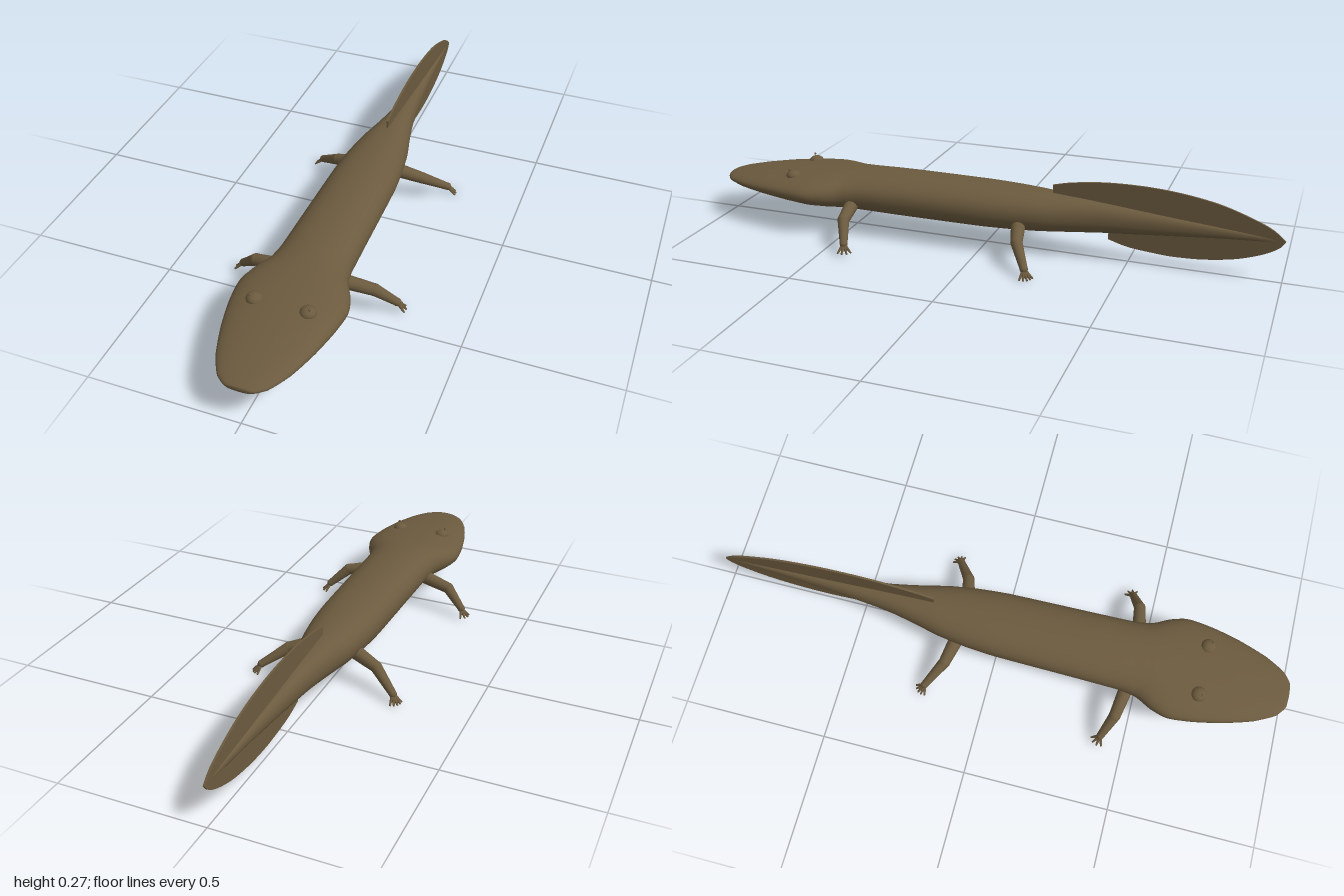
import * as THREE from 'three';

const skin = new THREE.MeshStandardMaterial({ color: 0x6b5a3e });
skin.name = 'brown skin';

const V = (x, y, z) => new THREE.Vector3(x, y, z);

function add(parent, name, geometry, position) {
  const mesh = new THREE.Mesh(geometry, skin);
  mesh.name = name;
  if (position) mesh.position.copy(position);
  parent.add(mesh);
  return mesh;
}

// Tapered round segment between two points
function segment(parent, name, a, b, ra, rb, sides = 16) {
  const dir = b.clone().sub(a);
  const mesh = add(parent, name, new THREE.CylinderGeometry(rb, ra, dir.length(), sides), a.clone().lerp(b, 0.5));
  mesh.quaternion.setFromUnitVectors(V(0, 1, 0), dir.normalize());
  return mesh;
}

// Smooth body lofted from rows of z, half width, top and bottom
function bodyGeometry() {
  const rows = [
    [1.0, 0.0, 0.141, 0.141], [0.997, 0.04, 0.15, 0.131], [0.97, 0.078, 0.157, 0.124],
    [0.9, 0.117, 0.17, 0.114], [0.8, 0.15, 0.186, 0.104], [0.7, 0.172, 0.198, 0.096],
    [0.62, 0.18, 0.205, 0.089], [0.56, 0.164, 0.21, 0.084], [0.5, 0.133, 0.214, 0.079],
    [0.44, 0.123, 0.217, 0.076], [0.3, 0.119, 0.221, 0.073], [0.0, 0.113, 0.221, 0.072],
    [-0.1, 0.105, 0.219, 0.074], [-0.2, 0.09, 0.215, 0.078], [-0.3, 0.066, 0.208, 0.085],
    [-0.4, 0.046, 0.2, 0.094], [-0.6, 0.025, 0.181, 0.11], [-0.8, 0.012, 0.164, 0.127],
    [-0.99, 0.002, 0.147, 0.139], [-1.0, 0.0, 0.143, 0.143],
  ];
  const size = new THREE.CatmullRomCurve3(rows.map(r => V(r[1], r[2], r[3])));
  const along = new THREE.CatmullRomCurve3(rows.map(r => V(0, 0, r[0])));
  const n = (rows.length - 1) * 4, m = 48;
  const positions = [], index = [];
  const round = v => Math.sign(v) * Math.abs(v) ** 0.92;
  for (let i = 0; i <= n; i++) {
    const s = size.getPoint(i / n);
    const z = THREE.MathUtils.clamp(along.getPoint(i / n).z, -1, 1);
    for (let j = 0; j < m; j++) {
      const a = (j / m) * Math.PI * 2;
      positions.push(
        Math.max(s.x, 0) * round(Math.cos(a)),
        (s.y + s.z) / 2 + ((s.y - s.z) / 2) * round(Math.sin(a)),
        z);
      if (i < n) {
        const p = i * m + j, q = i * m + ((j + 1) % m);
        index.push(p, p + m, q, q, p + m, q + m);
      }
    }
  }
  const g = new THREE.BufferGeometry();
  g.setAttribute('position', new THREE.Float32BufferAttribute(positions, 3));
  g.setIndex(index);
  g.computeVertexNormals();
  return g;
}

// Thin upright blade with a curved outer edge, points given as z, y
function finGeometry(root, edge) {
  const shape = new THREE.Shape();
  shape.moveTo(...root);
  shape.lineTo(...edge[0]);
  shape.splineThru(edge.slice(1).map(p => new THREE.Vector2(...p)));
  shape.closePath();
  const g = new THREE.ExtrudeGeometry(shape, { depth: 0.007, bevelEnabled: false, curveSegments: 32 });
  g.translate(0, 0, -0.0035);
  return g.rotateY(-Math.PI / 2);
}

// Two-part leg with a splayed set of toes
function leg(parent, name, side, hip, knee, ankle, toeTip, toes) {
  const group = new THREE.Group();
  group.name = name;
  const [h, k, a, t] = [hip, knee, ankle, toeTip].map(p => V(p[0] * side, p[1], p[2]));
  segment(group, 'upperLeg', h, k, 0.025, 0.02);
  add(group, 'knee', new THREE.SphereGeometry(0.0205, 16, 12), k);
  segment(group, 'lowerLeg', k, a, 0.02, 0.013);
  add(group, 'ankle', new THREE.SphereGeometry(0.0135, 16, 12), a);
  const reach = t.clone().sub(a);
  for (let i = 0; i < toes; i++) {
    const spread = (i / (toes - 1) - 0.5) * 1.7;
    const tip = reach.clone().applyAxisAngle(V(0, 1, 0), spread).add(a);
    segment(group, 'toe', a, tip, 0.007, 0.003, 8);
  }
  parent.add(group);
}

export function createModel() {
  const model = new THREE.Group();
  model.name = 'salamander';
  add(model, 'body', bodyGeometry());

  // Tail fins
  add(model, 'upperTailFin', finGeometry([-0.235, 0.15], [
    [-0.235, 0.24], [-0.3, 0.255], [-0.4, 0.268], [-0.5, 0.272], [-0.6, 0.269], [-0.7, 0.258],
    [-0.8, 0.238], [-0.9, 0.204], [-0.96, 0.176], [-1, 0.143]]));
  add(model, 'lowerTailFin', finGeometry([-0.43, 0.15], [
    [-0.43, 0.072], [-0.5, 0.053], [-0.6, 0.043], [-0.66, 0.041], [-0.75, 0.046],
    [-0.85, 0.063], [-0.93, 0.09], [-0.98, 0.118], [-1, 0.143]]));

  for (const side of [1, -1]) {
    // Low domed eyes with small beads on top
    add(model, 'eye', new THREE.SphereGeometry(0.026, 24, 16), V(0.086 * side, 0.189, 0.7)).scale.y = 0.75;
    add(model, 'pupil', new THREE.SphereGeometry(0.004, 12, 8), V(0.095 * side, 0.212, 0.71));

    leg(model, 'frontLeg', side, [0.09, 0.118, 0.468], [0.202, 0.096, 0.45],
      [0.266, 0.038, 0.42], [0.293, 0.011, 0.406], 4);
    leg(model, 'hindLeg', side, [0.075, 0.112, -0.138], [0.16, 0.084, -0.16],
      [0.24, 0.03, -0.212], [0.265, 0.003, -0.231], 5);
  }
  return model;
}
